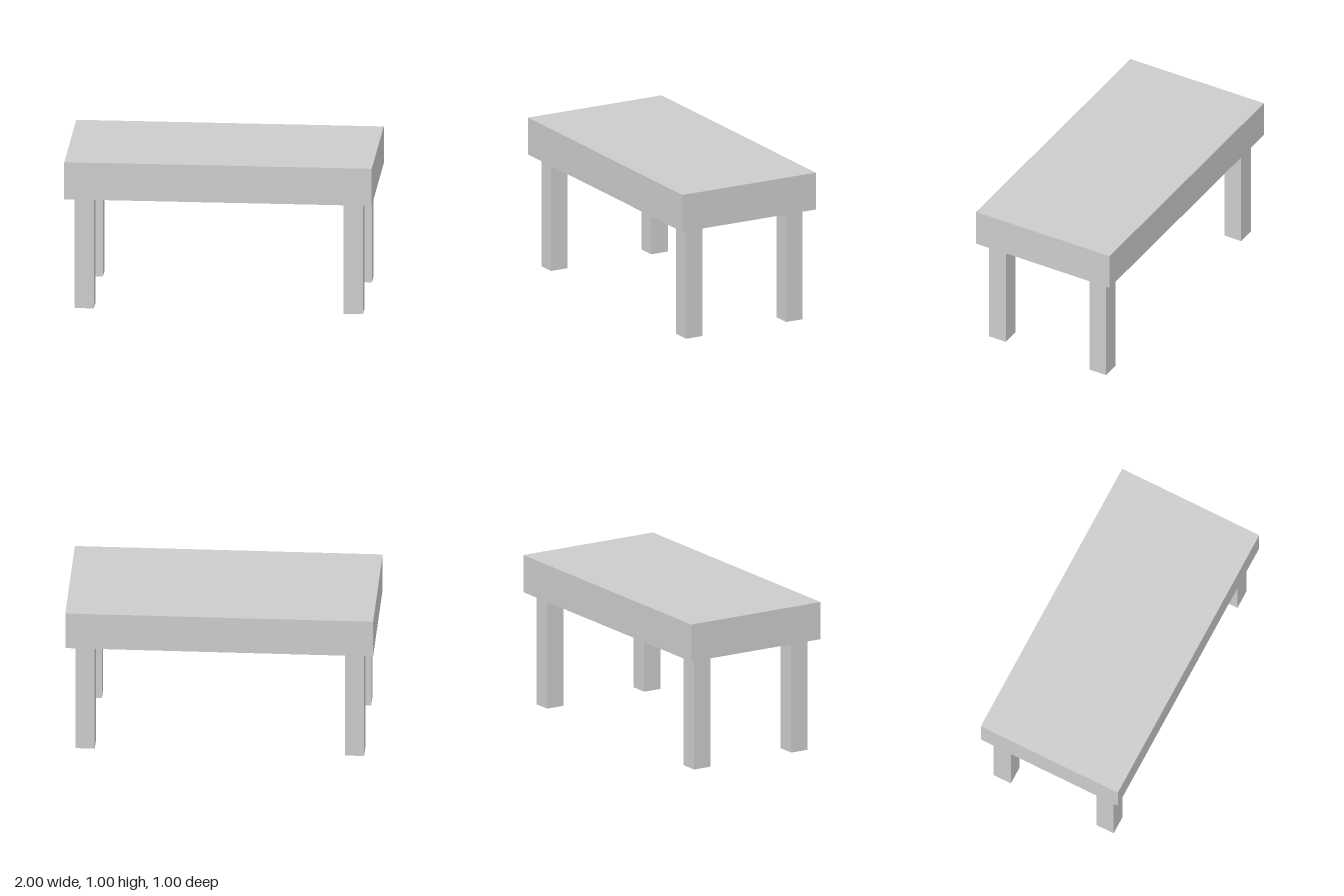
import * as THREE from 'three';

export function createModel() {
  const table = new THREE.Group();
  table.name = 'table';

  const grey = new THREE.MeshStandardMaterial({ color: 0xcccccc });
  grey.name = 'light grey';

  const legHeight = 0.75, legWidth = 0.125, topThickness = 0.25;

  // Thick slab top
  const top = new THREE.Mesh(new THREE.BoxGeometry(2, topThickness, 1), grey);
  top.name = 'tableTop';
  top.position.y = legHeight + topThickness / 2;
  table.add(top);

  // Four square legs, inset from the corners
  const legGeometry = new THREE.BoxGeometry(legWidth, legHeight, legWidth);
  for (const [sideName, x] of [['Left', 0.875], ['Right', -0.875]]) {
    for (const [endName, z] of [['front', 0.375], ['back', -0.375]]) {
      const leg = new THREE.Mesh(legGeometry, grey);
      leg.name = `${endName}${sideName}Leg`;
      leg.position.set(x, legHeight / 2, z);
      table.add(leg);
    }
  }

  return table;
}
